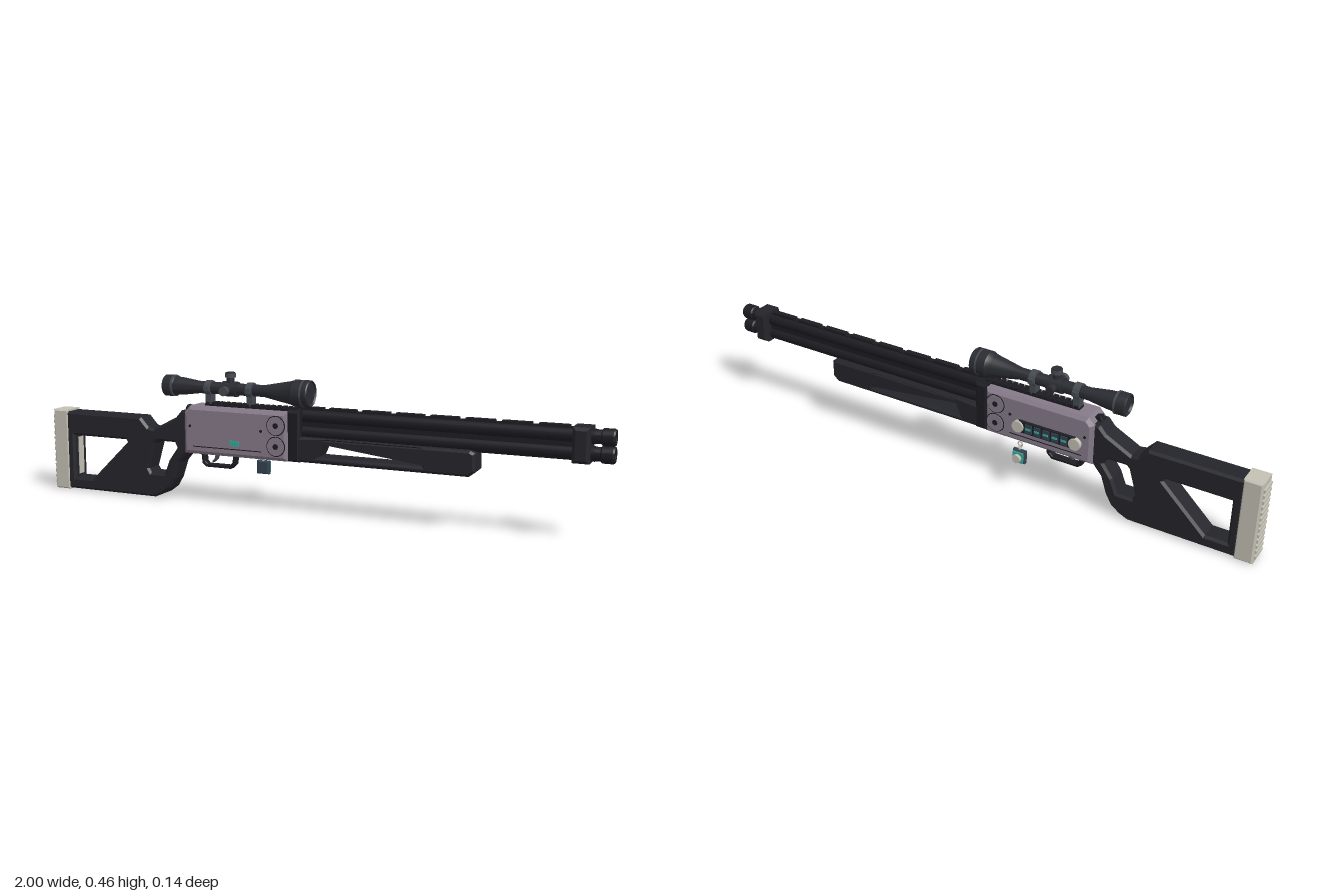
import * as THREE from 'three';
import { toCreasedNormals } from 'three/addons/utils/BufferGeometryUtils.js';

const paint = (name, color) => {
  const m = new THREE.MeshStandardMaterial({ color });
  m.name = name;
  return m;
};

export function createModel() {
  const polymer = paint('black polymer', 0x24242b);
  const steel = paint('dark steel', 0x1d1c22);
  const scopeBlack = paint('scope black', 0x2b2c32);
  const alloy = paint('mauve alloy', 0x857a89);
  const gunGrey = paint('blue grey', 0x454b52);
  const rubber = paint('pale rubber', 0xc3c0b3);
  const teal = paint('teal', 0x35a898);
  const slate = paint('slate blue', 0x33424f);

  const model = new THREE.Group();
  model.name = 'rifle';
  const body = new THREE.Group();
  body.name = 'rifleBody';
  body.position.z = 0.012;
  model.add(body);

  const add = (name, geo, mat, x = 0, y = 0, z = 0) => {
    const m = new THREE.Mesh(geo, mat);
    m.name = name;
    m.position.set(x, y, z);
    body.add(m);
    return m;
  };
  const box = (name, mat, x0, x1, y0, y1, z0, z1) =>
    add(name, new THREE.BoxGeometry(x1 - x0, y1 - y0, z1 - z0), mat, (x0 + x1) / 2, (y0 + y1) / 2, (z0 + z1) / 2);
  const vecs = pts => pts.map(p => new THREE.Vector2(...p));
  // Side outline extruded symmetrically about z = 0, with chamfered edges
  const plate = (name, mat, pts, half, bevel = 0, holes = []) => {
    const shape = new THREE.Shape(vecs(pts));
    holes.forEach(h => shape.holes.push(new THREE.Path(vecs(h))));
    const geo = new THREE.ExtrudeGeometry(shape, {
      depth: 2 * (half - bevel), bevelEnabled: bevel > 0, bevelSize: bevel,
      bevelThickness: bevel, bevelOffset: -bevel, bevelSegments: 1, curveSegments: 4
    });
    geo.translate(0, 0, bevel - half);
    return add(name, geo, mat);
  };
  const rect = (x0, x1, y0, y1) => [[x0, y0], [x1, y0], [x1, y1], [x0, y1]];
  // Turned part along x; profile is [radius, x]
  const turned = (name, mat, profile, y) => {
    const geo = new THREE.LatheGeometry(vecs(profile), 24);
    geo.rotateZ(-Math.PI / 2);
    return add(name, toCreasedNormals(geo, 0.5), mat, 0, y, 0);
  };
  const disc = (name, mat, r, h, x, y, z, axis = 'z', sides = 20) => {
    const geo = new THREE.CylinderGeometry(r, r, h, sides);
    if (axis === 'z') geo.rotateX(Math.PI / 2);
    if (axis === 'x') geo.rotateZ(Math.PI / 2);
    return add(name, geo, mat, x, y, z);
  };

  // Skeleton stock with thumbhole
  plate('stock', polymer, [
    [-0.94, 0.004], [-0.575, 0.004], [-0.545, 0.017], [-0.515, 0.04], [-0.495, 0.075], [-0.475, 0.135],
    [-0.44, 0.176], [-0.44, 0.318], [-0.462, 0.318], [-0.485, 0.292], [-0.575, 0.246], [-0.597, 0.25],
    [-0.628, 0.284], [-0.94, 0.284]
  ], 0.038, 0.008, [
    [[-0.908, 0.045], [-0.835, 0.045], [-0.685, 0.19], [-0.69, 0.2], [-0.908, 0.2]],
    [[-0.597, 0.105], [-0.588, 0.09], [-0.535, 0.09], [-0.515, 0.14], [-0.482, 0.185], [-0.492, 0.205], [-0.56, 0.205], [-0.57, 0.195]]
  ]);
  box('stockInset', rubber, -0.912, -0.905, 0.055, 0.19, -0.014, 0.014);

  // Butt pad with ridged rear face
  plate('buttPad', rubber, rect(-0.994, -0.933, 0, 0.29), 0.039, 0.005);
  for (let i = 0; i < 13; i++)
    box('buttRidge', rubber, -1, -0.993, 0.017 + i * 0.02, 0.028 + i * 0.02, -0.03, 0.03);

  // Receiver
  plate('receiver', alloy, [[-0.446, 0.173], [-0.055, 0.173], [-0.055, 0.338], [-0.425, 0.338], [-0.446, 0.315]], 0.05, 0.012);
  plate('receiverCollar', steel, rect(-0.058, -0.012, 0.174, 0.345), 0.045, 0.008);
  for (const s of [-1, 1]) {
    for (const y of [0.292, 0.222]) {
      disc('pivotRing', steel, 0.034, 0.002, -0.095, y, s * 0.05);
      disc('pivotCap', alloy, 0.031, 0.006, -0.095, y, s * 0.05);
      disc('pivotScrew', steel, 0.01, 0.009, -0.095, y, s * 0.05, 'z', 8);
    }
    box('sideSeam', steel, -0.41, -0.15, 0.199, 0.202, s * 0.05 - 0.001, s * 0.05 + 0.001);
    for (const x of [-0.42, -0.15])
      disc('receiverPin', steel, 0.005, 0.004, x, 0.27, s * 0.05, 'z', 10);
  }
  plate('tealInlay', teal, [[-0.27, 0.218], [-0.25, 0.21], [-0.232, 0.213], [-0.232, 0.227], [-0.265, 0.231]], 0.004)
    .position.z = 0.05;

  // Hammer
  plate('hammer', steel, [[-0.44, 0.285], [-0.425, 0.328], [-0.452, 0.336], [-0.46, 0.322], [-0.448, 0.315], [-0.465, 0.285]], 0.012, 0.002);

  // Trigger and guard
  plate('triggerGuard', steel,
    [[-0.4, 0.178], [-0.395, 0.135], [-0.38, 0.124], [-0.285, 0.124], [-0.268, 0.14], [-0.262, 0.178]], 0.013, 0.002,
    [[[-0.386, 0.17], [-0.384, 0.143], [-0.375, 0.135], [-0.29, 0.135], [-0.279, 0.145], [-0.275, 0.17]]]);
  plate('trigger', gunGrey, [[-0.345, 0.178], [-0.35, 0.155], [-0.362, 0.143], [-0.354, 0.141], [-0.34, 0.154], [-0.33, 0.178]], 0.006);

  // Handguard with long slot
  plate('handguard', polymer, [
    [-0.05, 0.175], [0.562, 0.175], [0.582, 0.192], [0.582, 0.25], [0.565, 0.258], [-0.015, 0.258], [-0.05, 0.25]
  ], 0.042, 0.008, [[[0.05, 0.195], [0.41, 0.195], [0.41, 0.243], [0.4, 0.249], [0.082, 0.249], [0.07, 0.243]]]);

  // Twin barrels, spine and rib
  for (const y of [0.325, 0.272]) {
    disc('barrel', steel, 0.0235, 0.96, 0.46, y, 0, 'x', 24);
    turned('muzzle', steel, [[0.022, 0.925], [0.022, 0.958], [0.027, 0.962], [0.027, 0.995], [0.024, 1], [0.014, 1], [0.014, 0.975], [0, 0.975]], y);
  }
  box('barrelSpine', steel, -0.02, 0.9, 0.255, 0.34, -0.014, 0.014);
  box('topRib', steel, -0.02, 0.88, 0.34, 0.35, -0.01, 0.01);
  for (let i = 0; i < 8; i++)
    box('ribSegment', steel, -0.035 + i * 0.115, 0.058 + i * 0.115, 0.349, 0.356, -0.01, 0.01);
  plate('muzzleClamp', polymer, rect(0.877, 0.93, 0.245, 0.355), 0.044, 0.01);

  // Toothed sight rail
  box('railBase', steel, -0.38, -0.03, 0.335, 0.344, -0.016, 0.016);
  for (let i = 0; i < 16; i++)
    box('railTooth', steel, -0.375 + i * 0.0215, -0.362 + i * 0.0215, 0.343, 0.351, -0.018, 0.018);

  // Scope
  turned('scopeTube', scopeBlack, [
    [0, -0.532], [0.03, -0.532], [0.033, -0.54], [0.037, -0.537], [0.037, -0.504], [0.032, -0.498], [0.03, -0.47],
    [0.021, -0.405], [0.02, -0.16], [0.038, -0.065], [0.042, -0.05], [0.045, -0.045],
    [0.045, 0.008], [0.042, 0.012], [0.039, 0.006], [0, 0.004]
  ], 0.398);
  disc('eyepieceBand', gunGrey, 0.0375, 0.007, -0.503, 0.398, 0, 'x', 24);
  disc('objectiveBand', gunGrey, 0.0455, 0.006, -0.012, 0.398, 0, 'x', 24);
  for (const x of [-0.367, -0.21]) {
    disc('scopeRing', gunGrey, 0.026, 0.022, x, 0.398, 0, 'x');
    box('scopeMount', gunGrey, x - 0.011, x + 0.011, 0.342, 0.385, -0.015, 0.015);
    for (const s of [-1, 1]) box('ringLug', gunGrey, x - 0.009, x + 0.009, 0.39, 0.406, s * 0.027 - 0.005, s * 0.027 + 0.005);
  }
  disc('turretBlock', scopeBlack, 0.026, 0.055, -0.288, 0.398, 0, 'x', 16);
  disc('topTurretNeck', scopeBlack, 0.013, 0.03, -0.288, 0.425, 0, 'y');
  disc('topTurret', gunGrey, 0.019, 0.014, -0.288, 0.445, 0, 'y', 16);
  disc('topTurretCap', scopeBlack, 0.016, 0.004, -0.288, 0.453, 0, 'y', 16);
  disc('sideTurretNeck', scopeBlack, 0.013, 0.04, -0.288, 0.396, 0.025);
  disc('sideTurret', gunGrey, 0.016, 0.014, -0.288, 0.396, 0.049, 'z', 16);
  disc('farTurret', scopeBlack, 0.014, 0.03, -0.288, 0.396, -0.032, 'z', 16);

  // Cartridge holder on the far side
  plate('holderPlate', steel, rect(-0.39, -0.185, 0.218, 0.262), 0.005, 0.002).position.z = -0.053;
  for (const x of [-0.39, -0.185])
    disc('holderKnob', rubber, 0.021, 0.015, x, 0.24, -0.057, 'z', 12);
  for (let i = 0; i < 5; i++) {
    const x = -0.352 + i * 0.032;
    box('cartridge', slate, x - 0.012, x + 0.012, 0.224, 0.256, -0.062, -0.055);
    box('cartridgeStripe', teal, x - 0.009, x + 0.009, 0.237, 0.244, -0.064, -0.061);
  }

  // Hanging charm
  for (let i = 0; i < 2; i++) {
    const link = add('charmLink', new THREE.TorusGeometry(0.008, 0.0025, 6, 12), rubber, -0.19, 0.17 - i * 0.013, -0.049);
    link.rotation.y = i * Math.PI / 2;
  }
  plate('charmBlock', slate, rect(-0.214, -0.168, 0.104, 0.15), 0.01, 0.004).position.z = -0.053;
  plate('charmBand', teal, rect(-0.21, -0.172, 0.108, 0.146), 0.003).position.z = -0.065;
  disc('charmFace', rubber, 0.015, 0.012, -0.191, 0.126, -0.073, 'z', 8);

  return model;
}
